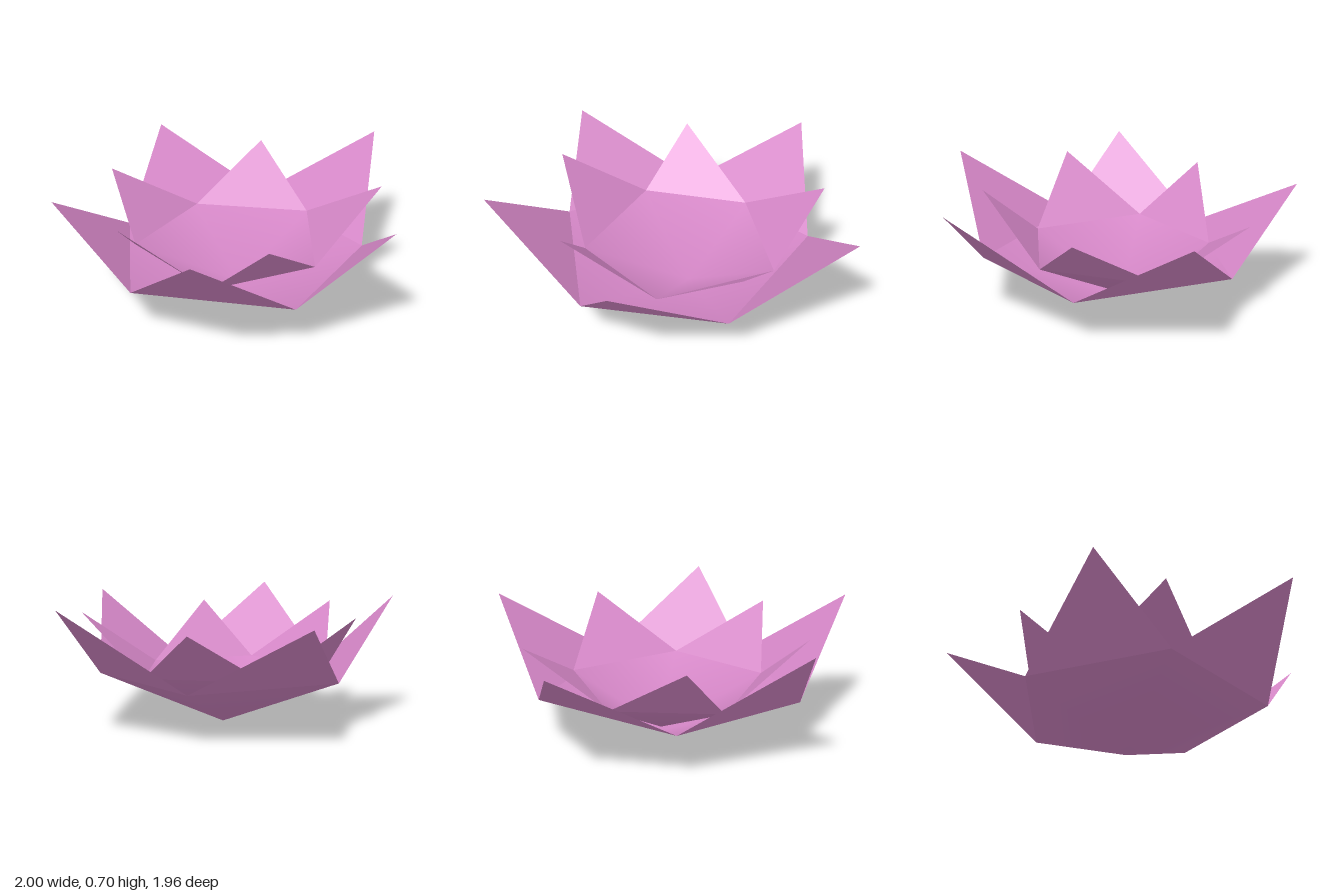
import * as THREE from 'three';

// Builds a surface from points and triangles; shared points give smooth normals.
function surface(points, index, material, name) {
  const geometry = new THREE.BufferGeometry();
  geometry.setAttribute('position', new THREE.Float32BufferAttribute(points.flat(), 3));
  geometry.setIndex(index);
  geometry.computeVertexNormals();
  const mesh = new THREE.Mesh(geometry, material);
  mesh.name = name;
  return mesh;
}

// One whorl: a shallow smooth bowl with a flat pointed petal folded up from each rim edge.
// rim holds [x, z] corners; tips holds the [x, y, z] petal point after each corner.
function whorl(name, apex, rimHeight, rim, tips, material) {
  const group = new THREE.Group();
  group.name = name;
  const corners = rim.map(([x, z]) => [x, rimHeight, z]);
  const n = corners.length;

  const index = [];
  for (let i = 0; i < n; i++) index.push(0, 1 + ((i + 1) % n), 1 + i);
  group.add(surface([apex, ...corners], index, material, name + 'Bowl'));

  tips.forEach((tip, i) => {
    const petal = [corners[i], corners[(i + 1) % n], tip];
    group.add(surface(petal, [0, 1, 2], material, name + 'Petal' + (i + 1)));
  });
  return group;
}

export function createModel() {
  const pink = new THREE.MeshStandardMaterial({ color: 0xd486c6, side: THREE.DoubleSide });
  pink.name = 'petalPink';

  const flower = new THREE.Group();
  flower.name = 'lotusFlower';

  // Wide outer whorl
  flower.add(whorl('outer', [-0.05, 0, 0.03], 0.26,
    [[0.65, 0.37], [-0.10, 0.81], [-0.69, 0.26], [-0.39, -0.57], [0.49, -0.41]],
    [[0.51, 0.70, 0.98], [-0.55, 0.68, 0.92], [-1.00, 0.62, -0.32],
      [0.14, 0.68, -0.98], [1.00, 0.68, 0.03]], pink));

  // Smaller inner whorl, turned between the outer petals
  flower.add(whorl('inner', [-0.05, 0.02, 0.03], 0.29,
    [[0.48, 0], [0.22, 0.55], [-0.43, 0.46], [-0.53, -0.14], [0.02, -0.50]],
    [[0.58, 0.61, 0.50], [-0.14, 0.63, 0.85], [-0.75, 0.61, 0.32],
      [-0.45, 0.57, -0.63], [0.54, 0.61, -0.50]], pink));

  return flower;
}
